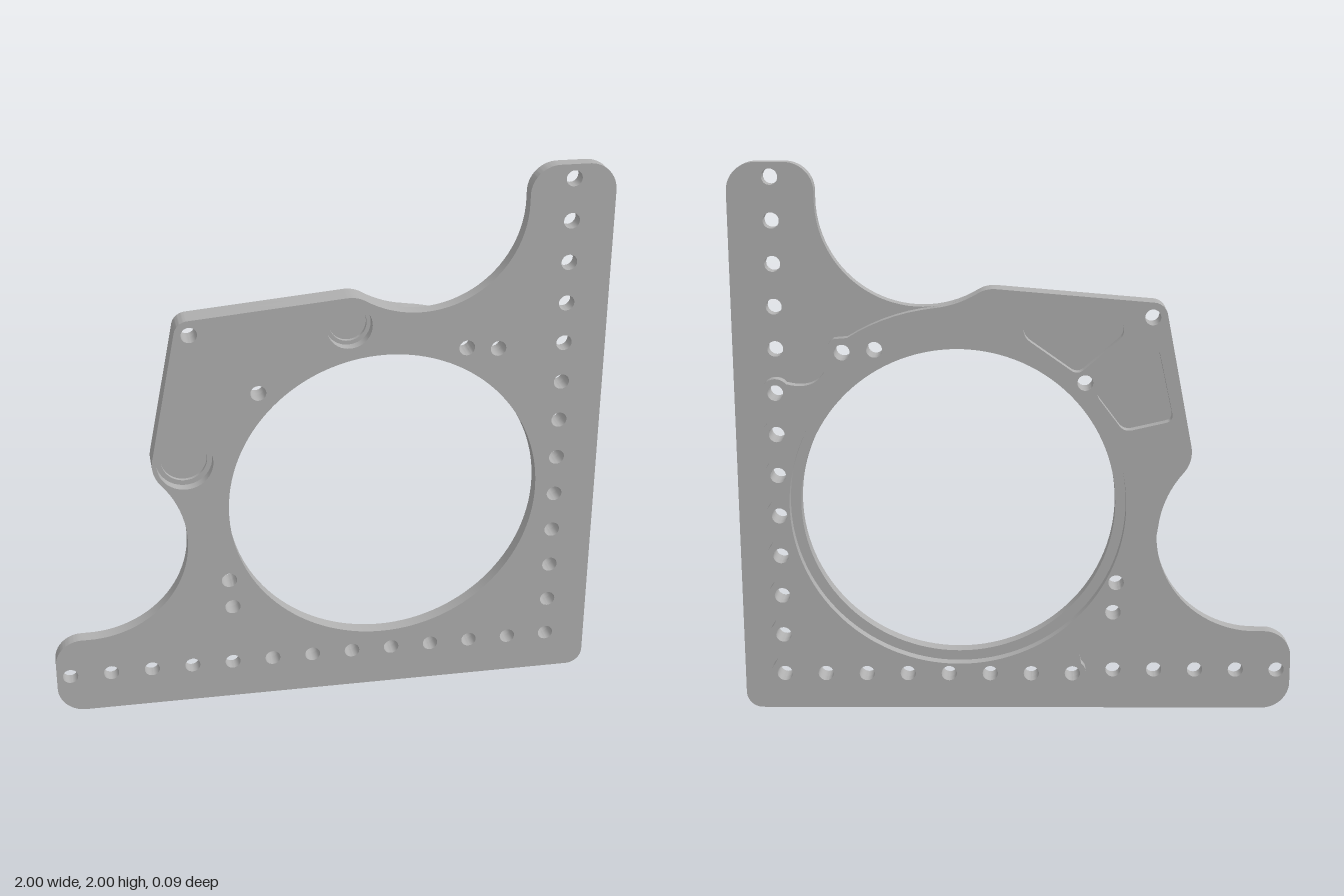
import * as THREE from 'three';
import { toCreasedNormals } from 'three/addons/utils/BufferGeometryUtils.js';

const RAD = Math.PI / 180;
const FRONT = 0.045, SPLIT = -0.006, BACK = -0.045;
const BORE = [0.213, 0.787];
const BOSSES = [[-0.5, 0.985, 0.1], [0.083, 1.462, 0.08]];

// points along an arc, angles in degrees
function arc(cx, cy, r, a0, a1, step = 4) {
  const n = Math.max(2, Math.ceil(Math.abs(a1 - a0) / step));
  return Array.from({ length: n + 1 }, (_, i) => {
    const a = (a0 + (a1 - a0) * i / n) * RAD;
    return new THREE.Vector2(cx + r * Math.cos(a), cy + r * Math.sin(a));
  });
}
const v = (x, y) => new THREE.Vector2(x, y);
// smooth valley between two points
const dip = (a, c, b) => new THREE.QuadraticBezierCurve(a, c, b).getPoints(12).slice(1, -1);
const circle = (x, y, r, step) => arc(x, y, r, 0, 360, step).slice(0, -1);
// reflection in the bracket's diagonal
const flip = (p) => v(1 - p.y, 1 - p.x);

// full outline from two halves, each drawn from the apex to the lower corner
function outline(half) {
  const right = half(BOSSES[1][0], BOSSES[1][1]);
  const m = flip({ x: BOSSES[0][0], y: BOSSES[0][1] });
  const left = half(m.x, m.y).map(flip).reverse();
  const all = right.concat(left);
  return all.filter((p, i) => p.distanceTo(all[(i + 1) % all.length]) > 1e-4);
}

// apex corner, sloping top edge, boss shoulder and hollow down to angle end
function shoulder(bx, by, end) {
  const [ax, ay, ar] = [-0.47, 1.47, 0.052];
  const [hx, hy, hr] = [0.33, 1.87, 0.37];
  const br = Math.hypot(hx - bx, hy - by) - hr;
  const L = Math.hypot(bx - ax, by - ay);
  const n = (Math.atan2(by - ay, bx - ax) + Math.acos((ar - br) / L)) / RAD;
  const t = Math.atan2(hy - by, hx - bx) / RAD;
  return [...arc(ax, ay, ar, 135, n), ...arc(bx, by, br, n, t), ...arc(hx, hy, hr, t + 180, end)];
}

const plateHalf = (bx, by) => [
  ...shoulder(bx, by, 360),
  ...arc(0.8, 1.9, 0.1, 180, 90),
  ...arc(0.9, 1.9, 0.1, 90, 0),
  ...arc(0.94, 0.06, 0.06, 0, -45),
];

function layerHalf(bx, by) {
  const pts = [
    ...shoulder(bx, by, 263.8),
    ...arc(BORE[0], BORE[1], 0.719, 83.8, 58),
    ...arc(0.613, 1.345, 0.055, 60, -30),
  ];
  // scalloped edge around the bolt column
  for (let i = 0; i <= 7; i++) {
    const y = 1.2 - 0.15 * i;
    const lobe = arc(0.85, y, 0.05, i ? 45 : 140, -45, 8);
    const c = i ? v(0.86, y + 0.075) : v(0.69, 1.2);
    pts.push(...dip(pts[pts.length - 1], c, lobe[0]), ...lobe);
  }
  return pts;
}

// polygon with softened corners
function pocket(corners, r = 0.03) {
  const p = corners.map(([x, y]) => v(x, y)), n = p.length, out = [];
  p.forEach((c, i) => {
    const toward = (q) => c.clone().lerp(q, Math.min(0.45, r / c.distanceTo(q)));
    const a = toward(p[(i + n - 1) % n]), b = toward(p[(i + 1) % n]);
    out.push(...new THREE.QuadraticBezierCurve(a, c, b).getPoints(6));
  });
  return out;
}

function slab(name, pts, holes, z0, z1, material) {
  const shape = new THREE.Shape(pts);
  shape.holes = holes.map((h) => new THREE.Path(h));
  const geo = new THREE.ExtrudeGeometry(shape, { depth: z1 - z0, bevelEnabled: false });
  geo.translate(0, 0, z0);
  const mesh = new THREE.Mesh(toCreasedNormals(geo, 0.5), material);
  mesh.name = name;
  return mesh;
}

export function createModel() {
  const group = new THREE.Group();
  group.name = 'mountingBracket';
  const metal = new THREE.MeshStandardMaterial({ color: 0xb0b0b0 });
  metal.name = 'grey metal';

  // bolt holes: two straight rows, the diagonal pair and the ring pairs
  const bolts = [[-0.47, 1.47], [-0.237, 1.237]];
  for (const [x, y] of [[0.5, 1.355], [0.613, 1.345]]) bolts.push([x, y], [1 - y, 1 - x]);
  const layerBolts = bolts.slice();
  for (let i = 0; i <= 12; i++) {
    const row = [[0.85, 0.15 + 0.15 * i]];
    if (i) row.push([0.85 - 0.15 * i, 0.15]);
    bolts.push(...row);
    if (i <= 7) layerBolts.push(...row);
  }
  const drill = (list) => list.map(([x, y]) => circle(x, y, 0.028, 15));

  // front plate with the large bore and two blind round seats
  group.add(slab('frontPlate', outline(plateHalf), [
    circle(...BORE, 0.563, 3), ...drill(bolts),
    ...BOSSES.map(([x, y, r]) => circle(x, y, r, 8)),
  ], SPLIT, FRONT, metal));

  // raised rear layer with wider bore and lightening pockets
  const pockets = [
    [[-0.02, 1.505], [-0.36, 1.465], [-0.375, 1.41], [-0.21, 1.265], [-0.02, 1.4]],
    [[-0.39, 1.33], [-0.49, 1.37], [-0.55, 1.1], [-0.375, 1.06], [-0.27, 1.2]],
    [[0.74, 0.4], [0.79, 0.39], [0.79, 0.24], [0.76, 0.21], [0.61, 0.21], [0.6, 0.26], [0.673, 0.327]],
  ];
  group.add(slab('rearLayer', outline(layerHalf), [
    circle(...BORE, 0.6, 3), ...drill(layerBolts), ...pockets.map((p) => pocket(p)),
  ], BACK, SPLIT, metal));

  // stepped rings inside the round seats
  for (const [x, y, r] of BOSSES) {
    group.add(slab('seatRing', circle(x, y, r, 8), [circle(x, y, r * 0.82, 8)], SPLIT, 0.008, metal));
  }
  return group;
}
